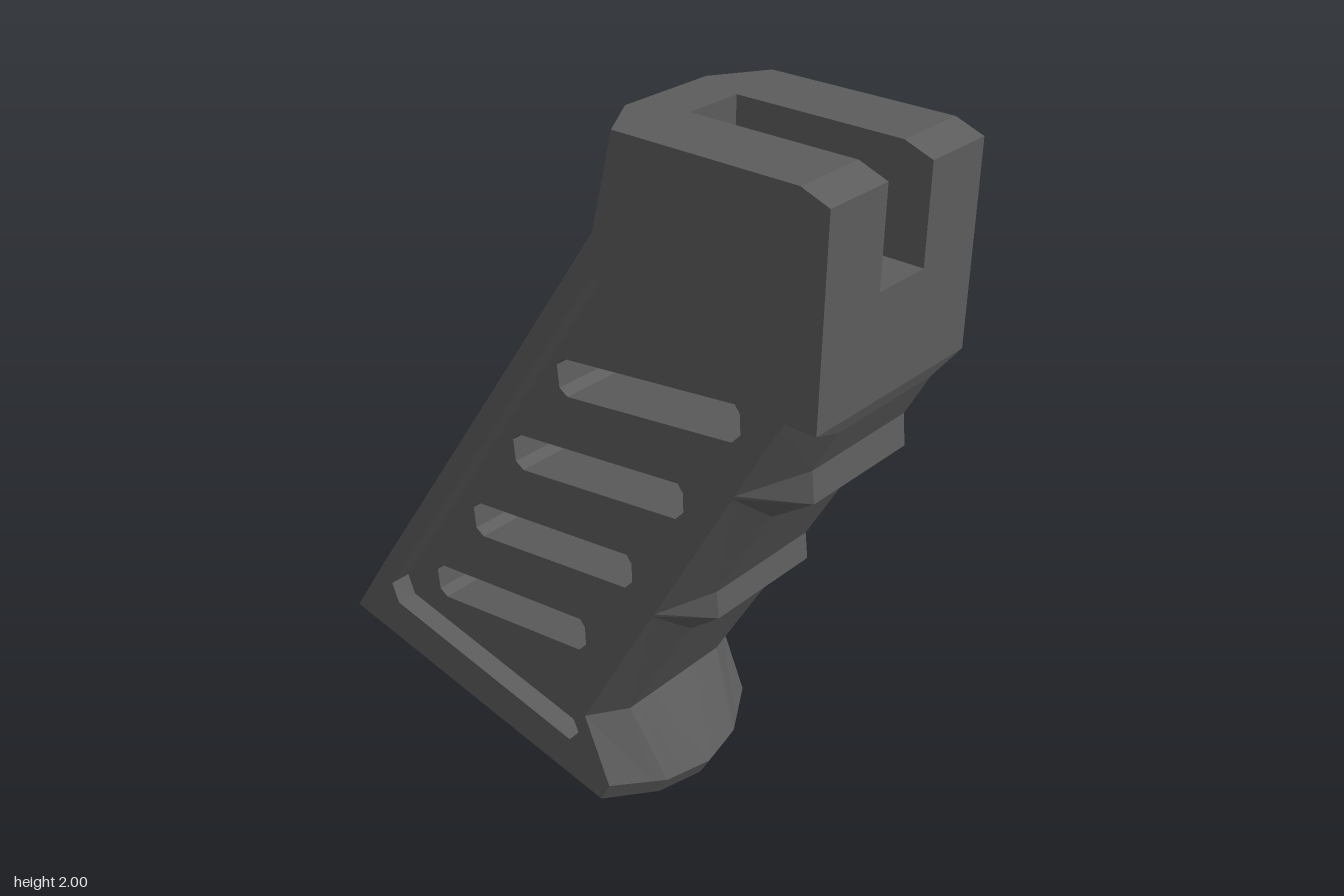
import * as THREE from 'three';
import { mergeGeometries } from 'three/addons/utils/BufferGeometryUtils.js';

const HALF = 0.3;       // half width
const PANEL_Z = 0.235;  // depth of the recessed side panels
const SLOT_Z = 0.088;   // half width of the top channel

// Profile corners, counterclockwise: centre [x, y], side edge [x, y], z where the bevel starts
const heelBack = [[-0.86, 0.265], [-0.8, 0.225], 0.15];
const frontEdge = [
  [[0.325, 0], [0.21, 0.025], 'arc'],
  [[0.355, 0.056], [0.24, 0.087], 'arc'],
  [[0.22, 0.286], [0.15, 0.286], 0.19],
  [[0.43, 0.655], [0.384, 0.72], 0.19],   // lower finger ridge
  [[0.52, 0.728], [0.39, 0.73], 0.19],
  [[0.51, 0.805], [0.396, 0.74], 0.19],
  [[0.67, 1.095], [0.628, 1.17], 0.19],   // upper finger ridge
  [[0.79, 1.178], [0.634, 1.18], 0.19],
  [[0.78, 1.266], [0.64, 1.19], 0.19],
  [[0.845, 1.39], [0.77, 1.43], 0.19],
];
const straight = (x, y) => [[x, y], [x, y], 0.15];
const backEdge = [[[0.16, 2], [0.25, 2], 0.15], [[0.11, 1.735], [0.19, 1.735], 0.15]];
const solidProfile = [heelBack, ...frontEdge, straight(0.86, 1.43),
  straight(0.86, 1.97), straight(0.78, 2), ...backEdge];
const channel = [[0.86, 1.71], [0.235, 1.71], [0.305, 1.9], [0.305, 2]];
const channelProfile = [heelBack, ...frontEdge, straight(0.86, 1.43),
  ...channel.map(([x, y]) => straight(x, y)), ...backEdge];

const panelOutline = [[-0.61, 0.317], [0.09, 0.172], [0.125, 0.215], [0.09, 0.286], [0.68, 1.356],
  [0.655, 1.436], [0.262, 1.636], [0.18, 1.61], [-0.635, 0.376]];
const ventOutline = [[0.012, 1.235], [0.04, 1.218], [0.575, 1.283], [0.6, 1.312], [0.597, 1.367],
  [0.58, 1.388], [0.025, 1.323], [0.004, 1.3]];
const vents = [0, 1, 2, 3].map(i => ventOutline.map(([x, y]) => [x - 0.168 * i, y - 0.282 * i]));

// Faceted curve of the toe: 0 at the centre, 1 at the side
const toeCurve = a => (a < 0.15 ? a / 0.6 : 0.25 + (a - 0.15) * 5);

// Cross-section of a profile at a given z
function section(profile, z) {
  const a = Math.abs(z);
  return profile.map(([c, s, bevel]) => {
    const t = bevel === 'arc' ? toeCurve(a) : Math.max(0, (a - bevel) / (HALF - bevel));
    return [c[0] + (s[0] - c[0]) * t, c[1] + (s[1] - c[1]) * t];
  });
}

// Flat-shaded skin through cross-sections at rising z
function skin(zs, ringAt) {
  const pos = [];
  for (let k = 0; k < zs.length - 1; k++) {
    const [z0, z1] = [zs[k], zs[k + 1]];
    const r0 = ringAt(z0), r1 = ringAt(z1);
    r0.forEach((p, i) => {
      const j = (i + 1) % r0.length;
      const a = [...p, z0], b = [...r0[j], z0], c = [...r1[j], z1], d = [...r1[i], z1];
      // mirrored diagonals keep both halves alike
      const quad = z0 < 0 ? [a, b, d, b, c, d] : [a, b, c, a, c, d];
      pos.push(...quad.flat());
    });
  }
  const g = new THREE.BufferGeometry();
  g.setAttribute('position', new THREE.Float32BufferAttribute(pos, 3));
  g.computeVertexNormals();
  return g;
}

// Flat face at z, facing +z or -z
function plate(outline, holes, z, facing) {
  const toVecs = pts => pts.map(p => new THREE.Vector2(...p));
  const shape = new THREE.Shape(toVecs(outline));
  shape.holes = holes.map(h => new THREE.Path(toVecs(h)));
  const g = new THREE.ShapeGeometry(shape);
  if (facing < 0) g.index.array.reverse();
  g.translate(0, 0, z);
  const flat = g.toNonIndexed();
  flat.deleteAttribute('uv');
  flat.computeVertexNormals();
  return flat;
}

export function createModel() {
  const group = new THREE.Group();
  const darkGrey = new THREE.MeshStandardMaterial({ color: 0x5c5c5d });
  darkGrey.name = 'darkGrey';
  const add = (name, parts) => {
    const mesh = new THREE.Mesh(mergeGeometries(parts), darkGrey);
    mesh.name = name;
    group.add(mesh);
  };

  // Outer shell: two solid flanks and a channelled middle
  const outer = [SLOT_Z, 0.15, 0.19, HALF];
  const solid = z => section(solidProfile, z);
  add('gripShell', [
    skin(outer.map(z => -z).reverse(), solid),
    skin([-SLOT_Z, 0, SLOT_Z], z => section(channelProfile, z)),
    skin(outer, solid),
  ]);

  // Inner cheeks of the top channel
  const cheek = [...channel.slice().reverse(), [0.86, 1.97], [0.78, 2]];
  add('topChannelSides', [plate(cheek, [], -SLOT_Z, 1), plate(cheek, [], SLOT_Z, -1)]);

  // Side faces, recess rims and recessed panels
  const rim = panelOutline.slice().reverse();
  for (const s of [1, -1]) {
    const side = s > 0 ? 'front' : 'back';
    add(side + 'SideFace', [plate(solid(HALF), [panelOutline], s * HALF, s)]);
    add(side + 'RecessRim', [skin(s > 0 ? [PANEL_Z, HALF] : [-HALF, -PANEL_Z], () => rim)]);
    add(side + 'RecessedPanel', [plate(panelOutline, vents, s * PANEL_Z, s)]);
  }

  // Walls of the vents that run right through
  add('ventWalls', vents.map(v => skin([-PANEL_Z, PANEL_Z], () => v.slice().reverse())));
  return group;
}
